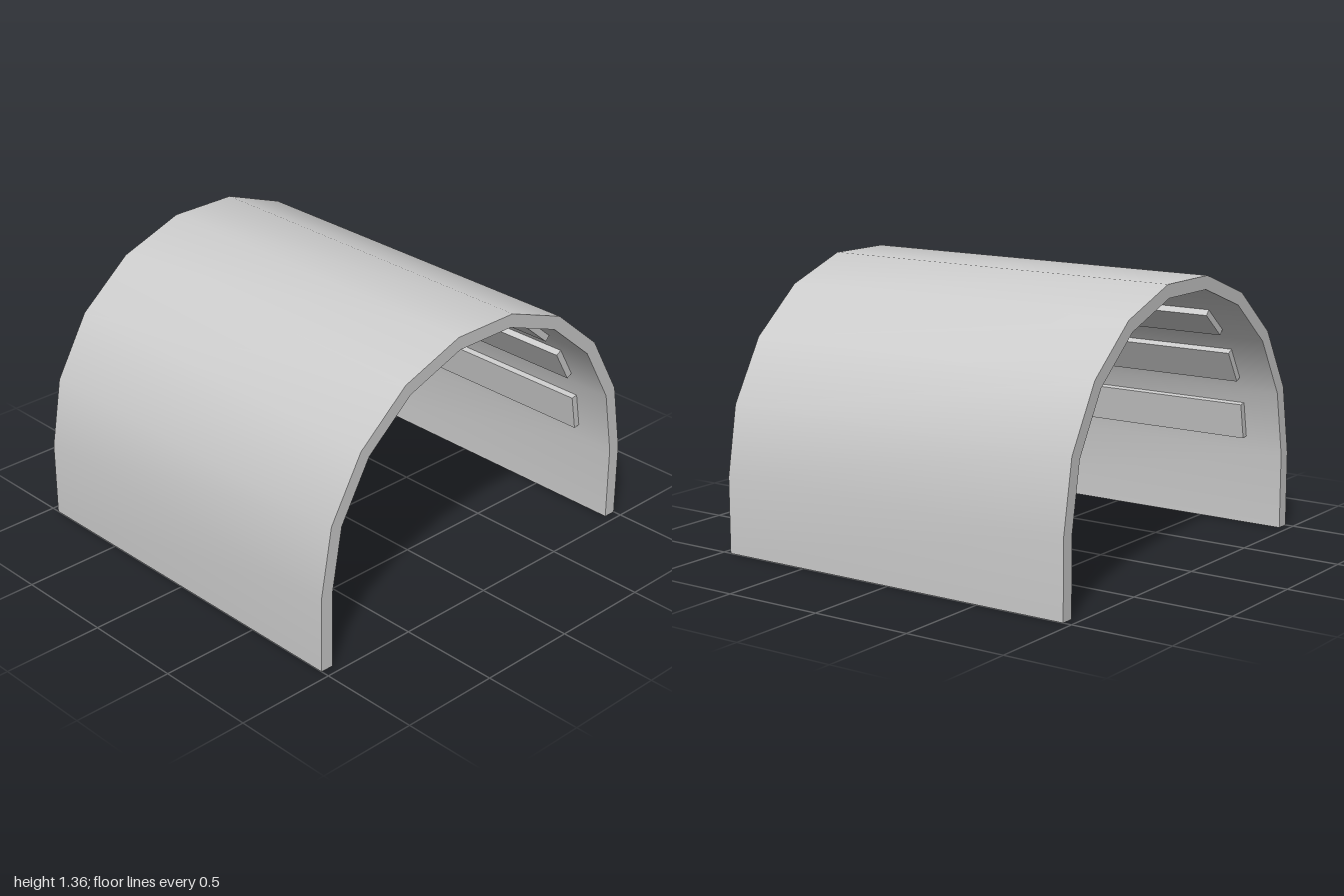
import * as THREE from 'three';
import { toCreasedNormals } from 'three/addons/utils/BufferGeometryUtils.js';

const SPRING = 0.375;   // height where the arch starts to curve
const OUTER = 1;
const INNER = 0.935;
const DEPTH = 1.914;
const SEGMENTS = 9;
const STEP = Math.PI / SEGMENTS;

// Points of a faceted half circle from the +x side to the -x side
function arc(radius) {
  return Array.from({ length: SEGMENTS + 1 }, (_, i) =>
    new THREE.Vector2(radius * Math.cos(i * STEP), SPRING + radius * Math.sin(i * STEP)));
}

export function createModel() {
  const model = new THREE.Group();
  model.name = 'archedTunnel';
  const material = new THREE.MeshStandardMaterial({ color: 0xcccccc });

  // Arched shell with straight lower walls
  const profile = new THREE.Shape([
    new THREE.Vector2(OUTER, 0), ...arc(OUTER), new THREE.Vector2(-OUTER, 0),
    new THREE.Vector2(-INNER, 0), ...arc(INNER).reverse(), new THREE.Vector2(INNER, 0),
  ]);
  const shellGeometry = new THREE.ExtrudeGeometry(profile, { depth: DEPTH, bevelEnabled: false });
  shellGeometry.translate(0, 0, -DEPTH / 2);
  const shell = new THREE.Mesh(toCreasedNormals(shellGeometry, 0.6), material);
  shell.name = 'shell';
  model.add(shell);

  // Three long strips on the inner facets of each side
  const thickness = 0.033, sink = 0.002;
  const stripGeometry = new THREE.BoxGeometry(thickness + sink, 0.178, DEPTH * 0.8);
  const facetDistance = INNER * Math.cos(STEP / 2);
  const r = facetDistance - thickness / 2 + sink / 2;
  for (const side of [1, -1]) {
    for (let i = 0; i < 3; i++) {
      const angle = (i + 0.5) * STEP;
      const strip = new THREE.Mesh(stripGeometry, material);
      strip.name = `${side > 0 ? 'left' : 'right'}Strip${i + 1}`;
      strip.position.set(side * r * Math.cos(angle), SPRING + r * Math.sin(angle), 0);
      strip.rotation.z = side * angle;
      model.add(strip);
    }
  }
  return model;
}
